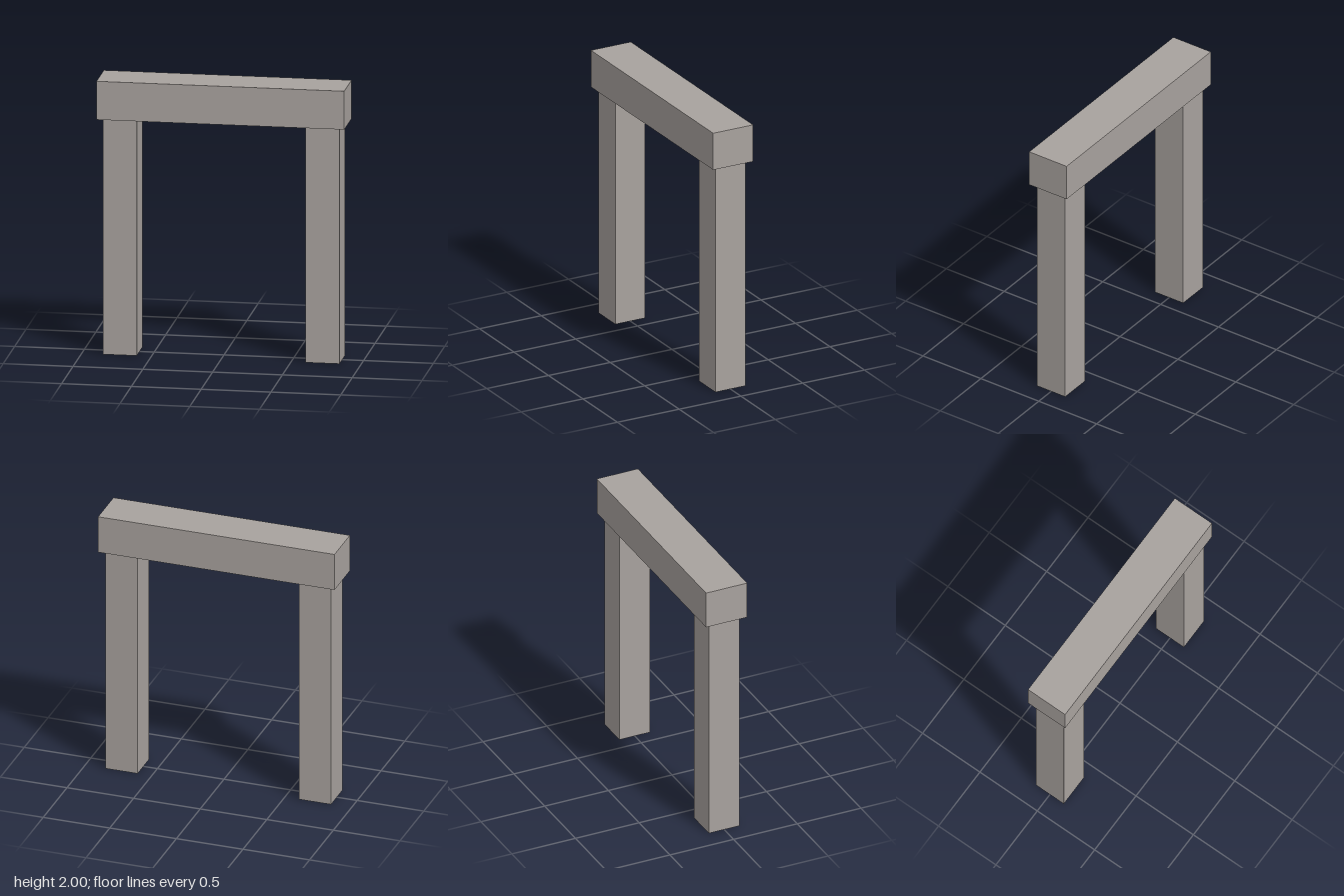
import * as THREE from 'three';

export function createModel() {
  const model = new THREE.Group();
  model.name = 'stoneGateway';

  const stone = new THREE.MeshStandardMaterial({ color: 0xa8a29e });
  stone.name = 'stone';

  const lintelBase = 1.72;

  function block(name, width, height, depth, x, baseY) {
    const mesh = new THREE.Mesh(new THREE.BoxGeometry(width, height, depth), stone);
    mesh.name = name;
    mesh.position.set(x, baseY + height / 2, 0);
    model.add(mesh);
  }

  // Two upright posts, mirrored about the centre
  for (const side of [-1, 1]) {
    block(side > 0 ? 'leftPost' : 'rightPost', 0.242, lintelBase, 0.242, side * 0.726, 0);
  }

  // Lintel overhanging the posts on all sides
  block('lintel', 1.775, 2 - lintelBase, 0.323, 0, lintelBase);

  return model;
}
